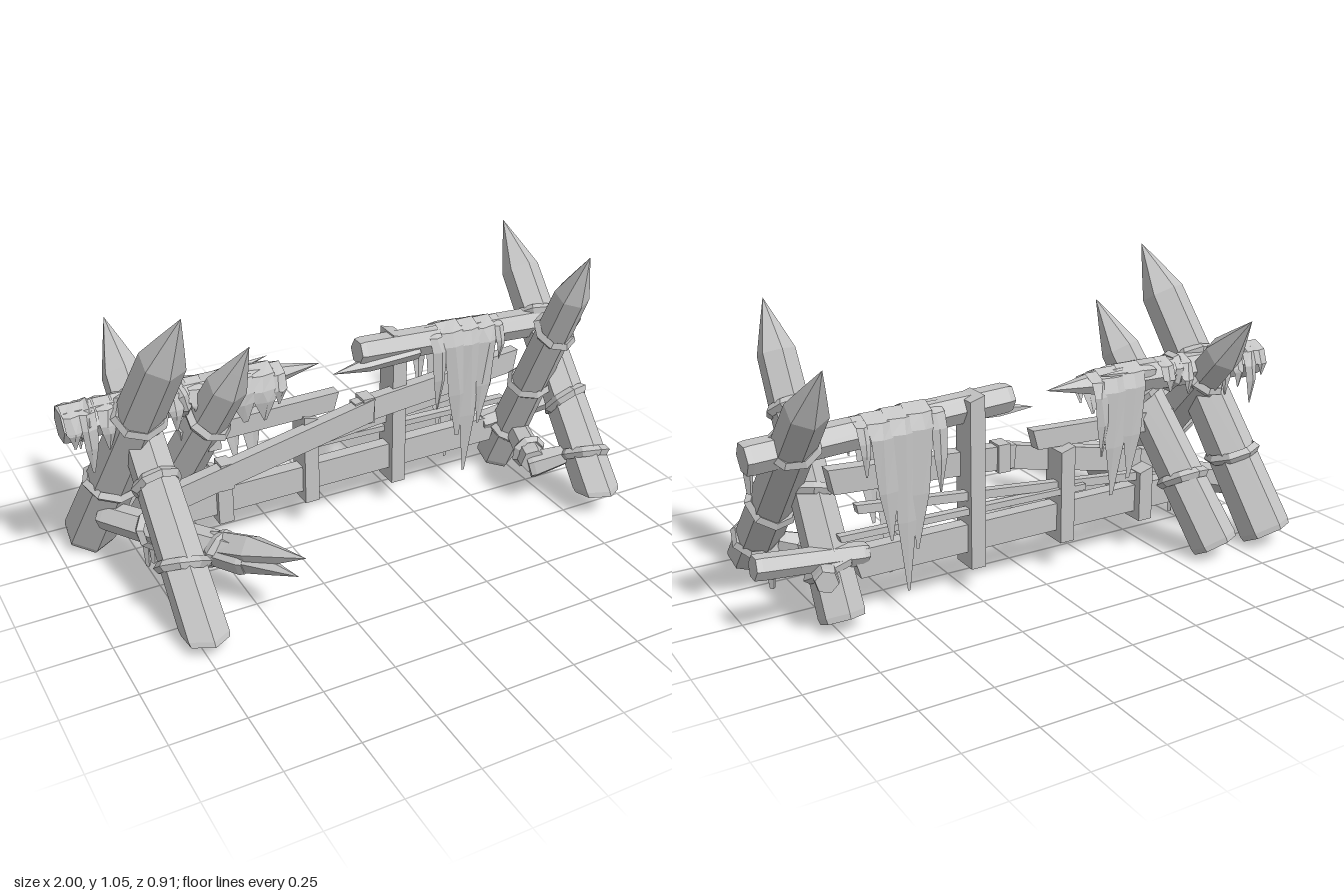
import * as THREE from 'three';

const wood = new THREE.MeshStandardMaterial({ color: 0xc4c4c4, flatShading: true, side: THREE.DoubleSide });
wood.name = 'pale grey';
const UP = new THREE.Vector3(0, 1, 0);
const V = (a) => new THREE.Vector3(...a);

export function createModel() {
  const model = new THREE.Group();
  let seed = 7;
  const rnd = () => ((seed = (seed * 16807) % 2147483647) / 2147483647);

  function add(name, geometry, parent = model) {
    const mesh = new THREE.Mesh(geometry, wood);
    mesh.name = name;
    parent.add(mesh);
    return mesh;
  }
  // turns a mesh built along +y so that it runs from a to b
  function aim(mesh, a, b) {
    mesh.position.copy(V(a));
    mesh.quaternion.setFromUnitVectors(UP, V(b).sub(V(a)).normalize());
    return mesh;
  }
  const span = (a, b) => V(a).distanceTo(V(b));

  // faceted log with worn ends; a point length above 0 sharpens the far end
  function log(name, a, b, r0, r1, point = 0, sides = 6) {
    const L = span(a, b), s = L - point;
    const profile = [[0, 0], [r0 * 0.95, 0], [r0, 0.02], [r1, point ? s : s - 0.02]];
    if (point) profile.push([r1 * 0.54, s + point * 0.47], [0, L]);
    else profile.push([r1 * 0.9, s], [0, s]);
    const g = new THREE.LatheGeometry(profile.map((p) => new THREE.Vector2(...p)), sides);
    return aim(add(name, g), a, b);
  }
  // saws the foot of a stake so that it sits nearer level
  function levelFoot(mesh, amount) {
    const p = mesh.geometry.attributes.position;
    const axisY = UP.clone().applyQuaternion(mesh.quaternion).y;
    for (let i = 0; i < p.count; i++) {
      if (p.getY(i) > 0.03) continue;
      const v = new THREE.Vector3(p.getX(i), 0, p.getZ(i)).applyQuaternion(mesh.quaternion);
      p.setY(i, p.getY(i) - (v.y / axisY) * amount);
    }
    mesh.geometry.computeVertexNormals();
  }
  // rope band round a log, at a distance along it
  function rope(parent, at, r, tilt) {
    const g = new THREE.TorusGeometry(r, 0.015, 4, 8);
    g.scale(1, 1 + Math.abs(tilt) * 0.2, 1.3);
    g.rotateX(Math.PI / 2 + tilt);
    g.rotateY(rnd() * 6);
    g.translate(0, at, 0);
    add('ropeBinding', g, parent);
  }
  // flat plank with a slanted far end
  function plank(name, a, b, h, d) {
    const L = span(a, b);
    const g = new THREE.BoxGeometry(h, L, d);
    const p = g.attributes.position;
    for (let i = 0; i < p.count; i++) {
      if (p.getY(i) > 0 && p.getX(i) > 0) p.setY(i, L / 2 - h * 0.3);
    }
    g.translate(0, L / 2, 0);
    g.computeVertexNormals();
    return aim(add(name, g), a, b);
  }
  // torn cloth strip draped over a beam, from the front hem to the back hem
  function drape(x, w, yTop, yFront, yBack, lean = 0) {
    const zc = -0.117, r = 0.066;
    const path = [
      [yFront, r * 0.95, 0.1], [yFront * 0.6 + yTop * 0.4, r * 1.1, 0.75],
      [yTop - 0.07, r * 1.05, 0.95], [yTop - 0.02, r * 0.75, 1],
      [yTop + 0.004, 0, 1], [yTop - 0.02, -r * 0.75, 1], [yTop - 0.07, -r * 1.05, 0.95],
      [yBack * 0.6 + yTop * 0.4, -r * 1.15, 0.75], [yBack, -r * 1.1, 0.1],
    ];
    const pos = [], idx = [];
    path.forEach(([y, z, k], i) => {
      const c = x + lean * (yTop - y);
      const fold = Math.sign(z) * 0.01 * k;
      pos.push(c - w * k / 2, y, zc + z, c + (rnd() - 0.5) * w * 0.3, y, zc + z + fold, c + w * k / 2, y, zc + z);
      if (i) for (const j of [0, 1]) {
        const q = (i - 1) * 3 + j;
        idx.push(q, q + 1, q + 4, q, q + 4, q + 3);
      }
    });
    const g = new THREE.BufferGeometry();
    g.setAttribute('position', new THREE.Float32BufferAttribute(pos, 3));
    g.setIndex(idx);
    g.computeVertexNormals();
    add('tornCloth', g);
  }
  // small hanging rag, wide at the top
  function rag(x, y, z, len) {
    add('hangingRag', new THREE.CylinderGeometry(0.018, 0.009, len, 4)).position.set(x, y - len / 2, z);
  }

  // sharpened stakes: base, tip, radii, point length, rope heights, foot levelling
  const stakes = [
    ['leftBackStake', [-0.88, 0.045, -0.37], [-0.67, 1.05, 0.17], 0.094, 0.078, 0.2, [0.32, 0.7], 0],
    ['leftInnerStake', [-0.645, 0.045, -0.365], [-0.43, 0.88, 0.11], 0.085, 0.07, 0.2, [0.27, 0.6], 0],
    ['leftFrontStake', [-0.73, 0.035, 0.37], [-0.75, 0.86, -0.37], 0.08, 0.07, 0.2, [0.24, 0.52, 0.76], 0.7],
    ['rightBackStake', [0.73, 0.035, -0.185], [0.775, 1.005, 0.245], 0.078, 0.064, 0.18, [0.17, 0.43, 0.7], 0],
    ['rightFrontStake', [0.855, 0.088, 0.305], [0.84, 0.93, -0.38], 0.08, 0.07, 0.2, [0.15, 0.36, 0.7], 0.6],
  ];
  for (const [name, a, b, r0, r1, point, ropes, level] of stakes) {
    const stake = log(name, a, b, r0, r1, point);
    levelFoot(stake, level);
    ropes.forEach((h, i) => rope(stake, h, r0 + (r1 - r0) * h, i % 2 ? 0.25 : -0.2));
  }

  // snapped top beam, in two halves with splintered ends
  log('rightTopBeam', [1, 0.608, -0.112], [0.07, 0.655, -0.115], 0.056, 0.052);
  log('rightBeamSplinter', [0.3, 0.625, -0.09], [-0.035, 0.597, -0.1], 0.035, 0.028, 0.14, 5);
  const leftBeam = log('leftTopBeam', [-1, 0.635, -0.115], [-0.08, 0.648, -0.11], 0.063, 0.057, 0.27);
  log('leftBeamSplinter', [-0.5, 0.66, -0.14], [-0.25, 0.69, -0.17], 0.03, 0.02, 0.16, 5);
  for (const h of [0.08, 0.22, 0.4]) rope(leftBeam, h, 0.058, 0.2);

  // rails
  plank('lowerRail', [-0.65, 0.2, -0.13], [0.68, 0.2, -0.14], 0.1, 0.05);
  log('lowerRailEnd', [1, 0.262, -0.14], [0.62, 0.225, -0.14], 0.043, 0.04);
  plank('diagonalRail', [-0.66, 0.28, -0.08], [0.12, 0.445, -0.075], 0.085, 0.045);
  plank('diagonalRailEnd', [0.04, 0.435, -0.085], [0.74, 0.485, -0.11], 0.085, 0.045);
  plank('shortRail', [-0.6, 0.475, -0.13], [-0.01, 0.49, -0.12], 0.07, 0.045);
  plank('thinRail', [-0.5, 0.28, -0.15], [0.66, 0.39, -0.15], 0.03, 0.03);
  plank('thinRail', [-0.2, 0.3, -0.17], [0.72, 0.3, -0.15], 0.022, 0.03);

  // upright slats
  for (const [x, y0, y1] of [[0.23, 0.095, 0.7], [-0.125, 0.11, 0.46], [-0.46, 0.12, 0.32]]) {
    plank('uprightSlat', [x, y0, -0.137], [x, y1, -0.137], 0.055, 0.1);
  }
  // lashings where rails cross
  for (const [x, y, h] of [[-0.46, 0.32, 0.1], [0.09, 0.44, 0.1], [-0.5, 0.48, 0.085]]) {
    add('railLashing', new THREE.BoxGeometry(0.045, h, 0.065)).position.set(x, y, -0.09);
  }

  // forked spiked log slung across the left legs
  const spiked = log('spikedLog', [-0.86, 0.2, -0.22], [-0.52, 0.195, 0.25], 0.052, 0.062);
  log('upperSpike', [-0.59, 0.195, 0.13], [-0.405, 0.275, 0.445], 0.06, 0.058, 0.22, 5);
  log('lowerSpike', [-0.59, 0.185, 0.13], [-0.43, 0.21, 0.44], 0.055, 0.05, 0.22, 5);
  for (const h of [0.2, 0.46]) rope(spiked, h, 0.058, 0.3);
  for (const [x, z, len] of [[-0.63, 0.1, 0.15], [-0.71, -0.01, 0.13], [-0.745, -0.06, 0.11], [-0.76, -0.08, 0.13]]) rag(x, 0.17, z, len);

  // short brace across the right legs
  const brace = log('rightBrace', [0.68, 0.175, 0.14], [0.8, 0.205, -0.24], 0.052, 0.042);
  rope(brace, 0.07, 0.052, 0.2);
  log('rightBraceStub', [0.67, 0.15, 0.12], [0.8, 0.19, 0.17], 0.052, 0.04);

  // cloth over the right beam
  drape(0.37, 0.06, 0.685, 0.38, 0.4);
  drape(0.43, 0.09, 0.695, 0.25, 0.22, 0.06);
  drape(0.5, 0.09, 0.69, 0.09, 0.08, -0.01);
  drape(0.57, 0.09, 0.685, 0.28, 0.27, -0.05);
  drape(0.63, 0.04, 0.68, 0.53, 0.5);
  // cloth over the left beam
  drape(-0.4, 0.1, 0.7, 0.52, 0.3, 0.06);
  drape(-0.32, 0.1, 0.695, 0.51, 0.25, 0.03);
  drape(-0.26, 0.06, 0.685, 0.56, 0.4);
  for (const [x, y] of [[-0.97, 0.57], [-0.92, 0.47], [-0.86, 0.54], [-0.8, 0.52], [-0.63, 0.55], [-0.55, 0.57]]) {
    drape(x, 0.055, 0.7, y, y + 0.02);
  }
  rag(0.98, 0.57, -0.1, 0.08);
  rag(0.94, 0.24, -0.14, 0.06);
  return model;
}
